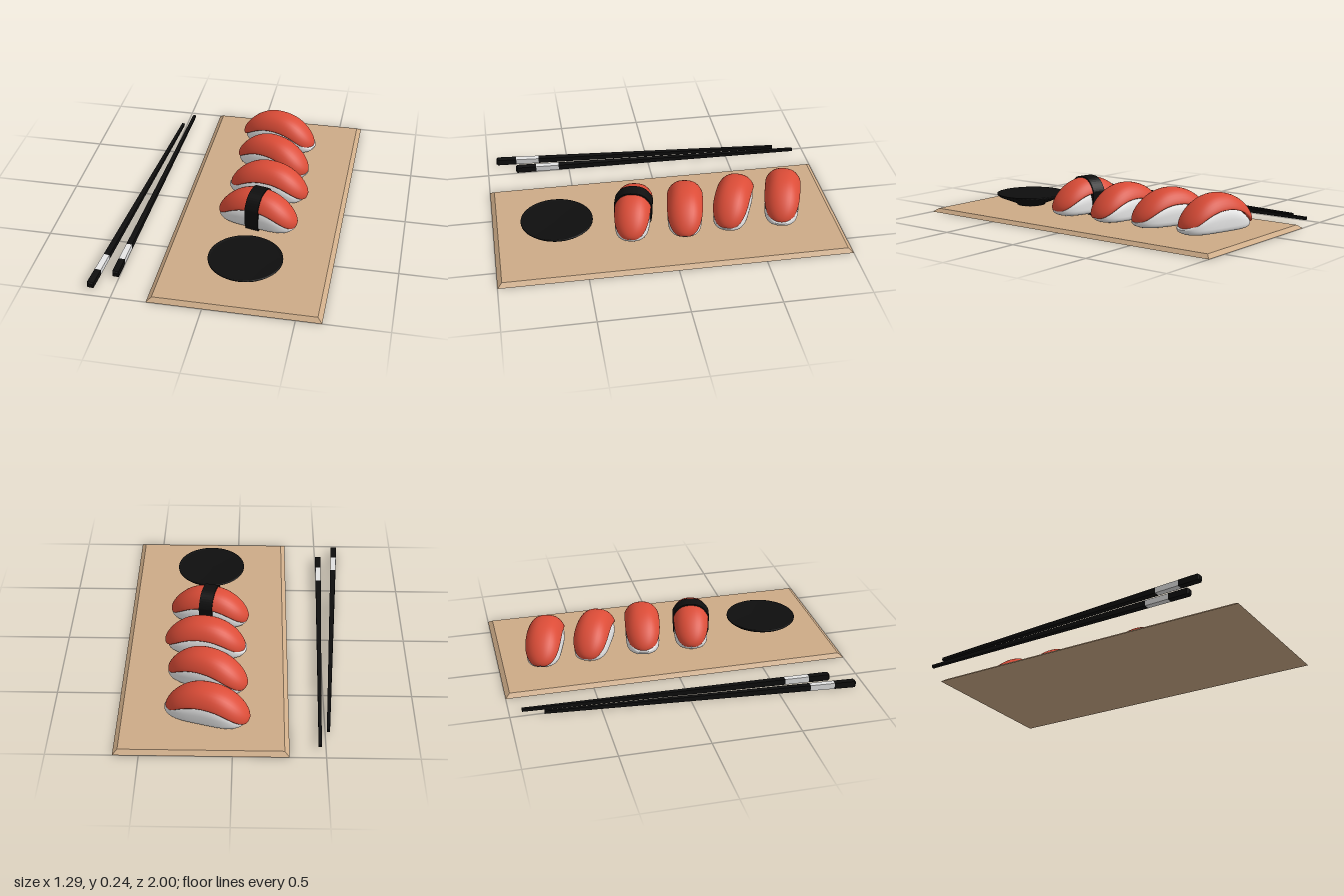
import * as THREE from 'three';
import { mergeVertices } from 'three/addons/utils/BufferGeometryUtils.js';

const mat = (name, color) => {
  const m = new THREE.MeshStandardMaterial({ color });
  m.name = name;
  return m;
};

// Closed body along x: point(u, phi) with u in -1..1, collapsing at both ends
function loft(point, nu = 36, np = 36) {
  const pos = [], idx = [];
  for (let i = 0; i <= nu; i++) {
    const u = Math.sin((i / nu - 0.5) * Math.PI);
    for (let j = 0; j < np; j++) pos.push(...point(u, (j / np) * Math.PI * 2));
  }
  for (let i = 0; i < nu; i++) for (let j = 0; j < np; j++) {
    const k = (j + 1) % np;
    const a = i * np + j, b = a + np, c = (i + 1) * np + k, d = i * np + k;
    idx.push(a, b, c, a, c, d);
  }
  let g = new THREE.BufferGeometry();
  g.setAttribute('position', new THREE.Float32BufferAttribute(pos, 3));
  g.setIndex(idx);
  g = mergeVertices(g, 1e-5);
  g.computeVertexNormals();
  return g;
}

const endRound = (u, p) => Math.sqrt(Math.max(0, 1 - Math.abs(u) ** p));
const arch = (u) => Math.abs(u) ** 2.2;

// Rice: flat-bottomed bun with an arched top
const ricePoint = (u, phi) => {
  const s = Math.sin(phi), full = endRound(u, 6);
  const y = s > 0
    ? 0.058 + (0.128 - 0.125 * arch(u)) * s ** 0.7 * full
    : 0.058 - 0.038 * Math.abs(s) ** 0.6 * full;
  return [0.236 * u, y, 0.1 * endRound(u, 4) * Math.cos(phi)];
};

// Fish: arched slab that droops over both long sides
const fishPoint = (u, phi) => {
  const c = Math.cos(phi), th = 0.03 * endRound(u, 8) * Math.sin(phi);
  const slope = -Math.sign(u) * 0.147 * 2.2 * Math.abs(u) ** 1.2 / 0.235;
  const n = Math.hypot(1, slope);
  const droop = 0.05 * (1 - 0.55 * u * u) * Math.abs(c) ** 3 * endRound(u, 8);
  return [
    0.235 * u - (slope / n) * th,
    0.205 - 0.147 * arch(u) + th / n - droop,
    0.104 * endRound(u, 4) * c,
  ];
};

// Seaweed strip wrapped over the middle
function bandGeometry() {
  const pts = [new THREE.Vector2(0.09, 0.021), new THREE.Vector2(0.107, 0.06)];
  for (let i = 0; i <= 24; i++) {
    const a = (i / 24) * Math.PI, c = Math.cos(a);
    pts.push(new THREE.Vector2(0.11 * c, 0.209 + 0.031 * Math.sin(a) - 0.05 * Math.abs(c) ** 3));
  }
  pts.push(new THREE.Vector2(-0.107, 0.06), new THREE.Vector2(-0.09, 0.021));
  const g = new THREE.ExtrudeGeometry(new THREE.Shape(pts), { depth: 0.08, bevelEnabled: false });
  return g.translate(0, 0, -0.04).rotateY(Math.PI / 2);
}

export function createModel() {
  const wood = mat('wood', 0xcdab87);
  const black = mat('black', 0x0e0e0e);
  const white = mat('white', 0xe4e4e4);
  const salmon = mat('salmon', 0xdb4c37);

  const root = new THREE.Group();
  root.name = 'sushiBoard';
  const add = (parent, name, geometry, material) => {
    const m = new THREE.Mesh(geometry, material);
    m.name = name;
    parent.add(m);
    return m;
  };

  // Board with sloping edges
  const boardGeo = new THREE.BoxGeometry(0.945, 0.02, 2);
  const p = boardGeo.attributes.position;
  for (let i = 0; i < p.count; i++) if (p.getY(i) > 0) {
    p.setX(i, p.getX(i) - Math.sign(p.getX(i)) * 0.026);
    p.setZ(i, p.getZ(i) - Math.sign(p.getZ(i)) * 0.026);
  }
  boardGeo.computeVertexNormals();
  add(root, 'board', boardGeo, wood).position.set(0.168, 0.01, 0);

  // Sauce dish
  const dishProfile = [[0, 0.02], [0.085, 0.02], [0.09, 0.03], [0.14, 0.05], [0.195, 0.073],
    [0.207, 0.084], [0.207, 0.09], [0.2, 0.09], [0.19, 0.086], [0, 0.084]]
    .map(([x, y]) => new THREE.Vector2(x, y));
  add(root, 'sauceDish', new THREE.LatheGeometry(dishProfile, 48), black).position.set(0.167, 0, 0.632);

  // Four sushi pieces: x, z, turn in degrees, shift of the fish along the rice
  const riceGeo = loft(ricePoint), fishGeo = loft(fishPoint);
  const pieces = [
    [0.152, -0.703, 16, -0.012],
    [0.155, -0.408, 22, -0.004],
    [0.165, -0.116, 10, 0.012],
    [0.16, 0.185, 13, 0],
  ];
  pieces.forEach(([x, z, turn, shift], i) => {
    const sushi = new THREE.Group();
    sushi.name = `sushi${i + 1}`;
    sushi.position.set(x, 0, z);
    sushi.rotation.y = -THREE.MathUtils.degToRad(turn);
    add(sushi, 'rice', riceGeo, white);
    add(sushi, 'fishSlice', fishGeo, salmon).position.x = shift;
    if (i === 3) add(sushi, 'seaweedBand', bandGeometry(), black);
    root.add(sushi);
  });

  // Square tapered chopsticks, handle end to tip
  const up = new THREE.Vector3(0, 1, 0);
  function chopstick(name, hx, hz, tx, tz) {
    const start = new THREE.Vector3(hx, 0.02, hz);
    const dir = new THREE.Vector3(tx, 0.02, tz).sub(start);
    const length = dir.length();
    const stick = new THREE.Group();
    stick.name = name;
    stick.position.copy(start);
    stick.quaternion.setFromUnitVectors(up, dir.normalize());
    // part, from, to, half width at each end
    [['endBevel', 0, 0.008, 0.012, 0.018, black],
      ['handle', 0.008, 0.125, 0.018, 0.0175, black],
      ['handleBand', 0.125, 0.265, 0.0172, 0.0165, white],
      ['shaft', 0.265, length, 0.0165, 0.0085, black]].forEach(([part, a, b, r0, r1, m]) => {
      const g = new THREE.CylinderGeometry(r1 * Math.SQRT2, r0 * Math.SQRT2, b - a, 4)
        .rotateY(Math.PI / 4).translate(0, (a + b) / 2, 0).toNonIndexed();
      g.computeVertexNormals();
      add(stick, part, g, m);
    });
    root.add(stick);
  }
  chopstick('outerChopstick', -0.628, 0.945, -0.517, -0.812);
  chopstick('innerChopstick', -0.52, 0.828, -0.468, -0.93);

  return root;
}
